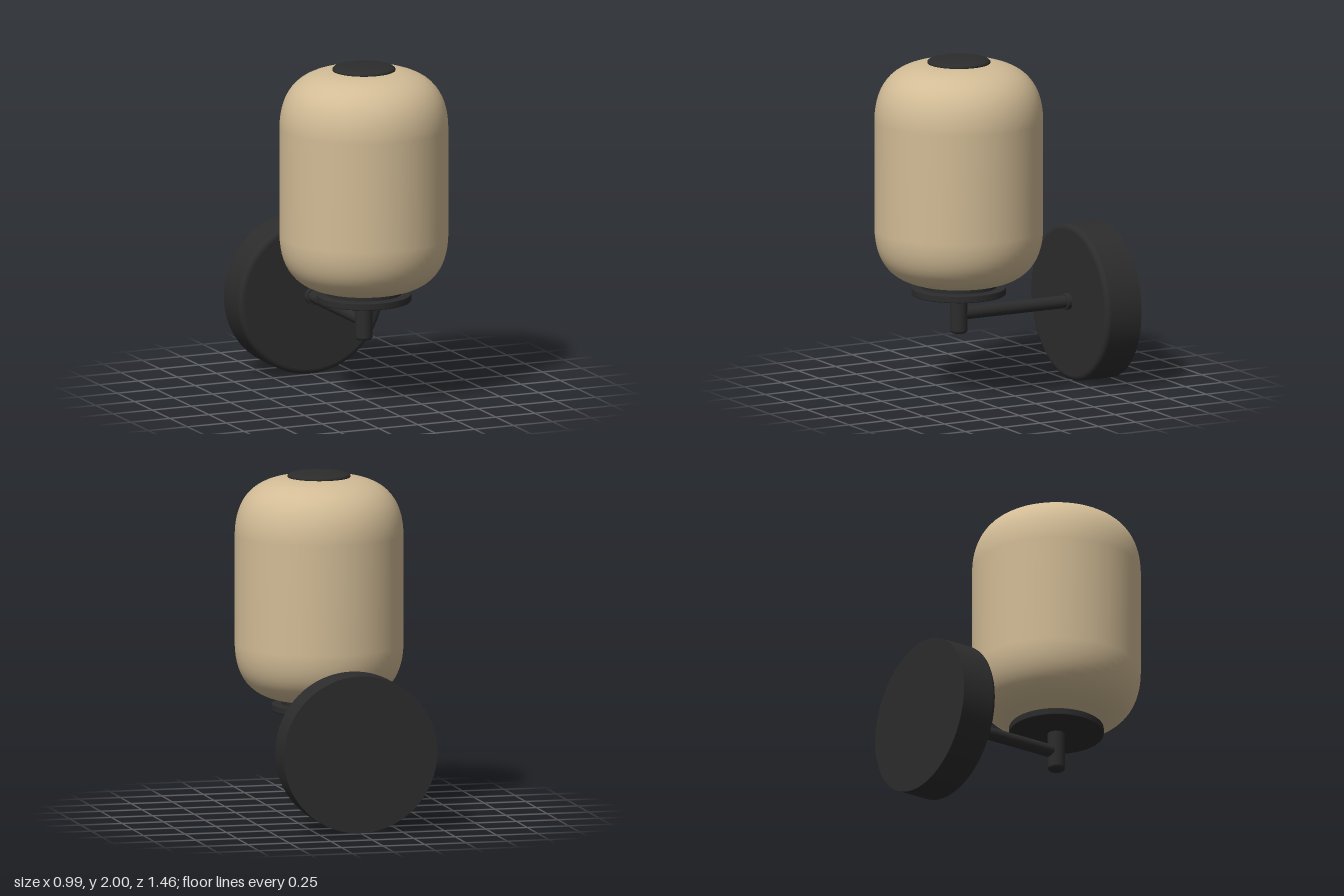
import * as THREE from 'three';

const SHADE_Z = 0.235;
const ARM_Y = 0.465;

export function createModel() {
  const group = new THREE.Group();
  const glass = new THREE.MeshStandardMaterial({ color: 0xd2bc96 });
  glass.name = 'warm tan glass';
  const metal = new THREE.MeshStandardMaterial({ color: 0x2c2c2c });
  metal.name = 'matte black metal';

  const add = (name, geometry, material, x, y, z) => {
    const mesh = new THREE.Mesh(geometry, material);
    mesh.name = name;
    mesh.position.set(x, y, z);
    group.add(mesh);
    return mesh;
  };

  // Solid disc from y = 0 to h, with separately rounded bottom and top rims.
  // Profile points are doubled at hard corners to keep them crisp.
  const disc = (r, h, bottom, top, segments = 64) => {
    const pts = [[0, 0], [r - bottom, 0], [r - bottom, 0]];
    const steps = 5;
    for (let i = 1; i <= steps && bottom > 0; i++) {
      const a = (i / steps) * Math.PI / 2;
      pts.push([r - bottom + bottom * Math.sin(a), bottom - bottom * Math.cos(a)]);
    }
    if (top > 0) {
      for (let i = 0; i <= steps; i++) {
        const a = (i / steps) * Math.PI / 2;
        pts.push([r - top + top * Math.cos(a), h - top + top * Math.sin(a)]);
      }
    } else pts.push([r, h]);
    pts.push([r - top, h], [0, h]);
    return new THREE.LatheGeometry(pts.map(p => new THREE.Vector2(...p)), segments);
  };

  // Shade: straight barrel with soft shoulders
  const v = (x, y) => new THREE.Vector2(x, y);
  const lower = new THREE.CubicBezierCurve(v(0.18, 0.65), v(0.42, 0.665), v(0.49, 0.81), v(0.493, 0.98));
  const upper = new THREE.CubicBezierCurve(v(0.493, 1.63), v(0.49, 1.80), v(0.42, 1.95), v(0.18, 1.967));
  const profile = [v(0, 0.648), ...lower.getPoints(14), ...upper.getPoints(14), v(0, 1.969)];
  add('shade', new THREE.LatheGeometry(profile, 72), glass, 0, 0, SHADE_Z);

  // Domed cap on the shade
  const cap = [[0, 1.95], [0.178, 1.95], [0.184, 1.968], [0.184, 1.976], [0.175, 1.984],
    [0.15, 1.991], [0.11, 1.997], [0.05, 2], [0, 2]].map(p => v(...p));
  add('topCap', new THREE.LatheGeometry(cap, 64), metal, 0, 0, SHADE_Z);

  // Holder below the shade
  add('shadeCollar', disc(0.22, 0.05, 0, 0), metal, 0, 0.62, SHADE_Z);
  add('holderPlate', disc(0.277, 0.043, 0.006, 0.006), metal, 0, 0.588, SHADE_Z);
  add('stem', disc(0.051, 0.245, 0.02, 0, 32), metal, 0, 0.355, SHADE_Z);

  // Arm reaching back to the wall
  const arm = add('arm', new THREE.CylinderGeometry(0.038, 0.038, 0.735, 32), metal, 0, ARM_Y + 0.005, -0.1325);
  arm.rotation.x = Math.PI / 2;
  const ring = add('armCollar', disc(0.049, 0.035, 0, 0.004, 32), metal, 0, ARM_Y + 0.005, -0.505);
  ring.rotation.x = Math.PI / 2;

  // Round wall plate with a rounded front rim
  const plate = add('wallPlate', disc(0.463, 0.231, 0, 0.03, 80), metal, 0, ARM_Y - 0.002, -0.729);
  plate.rotation.x = Math.PI / 2;

  return group;
}
